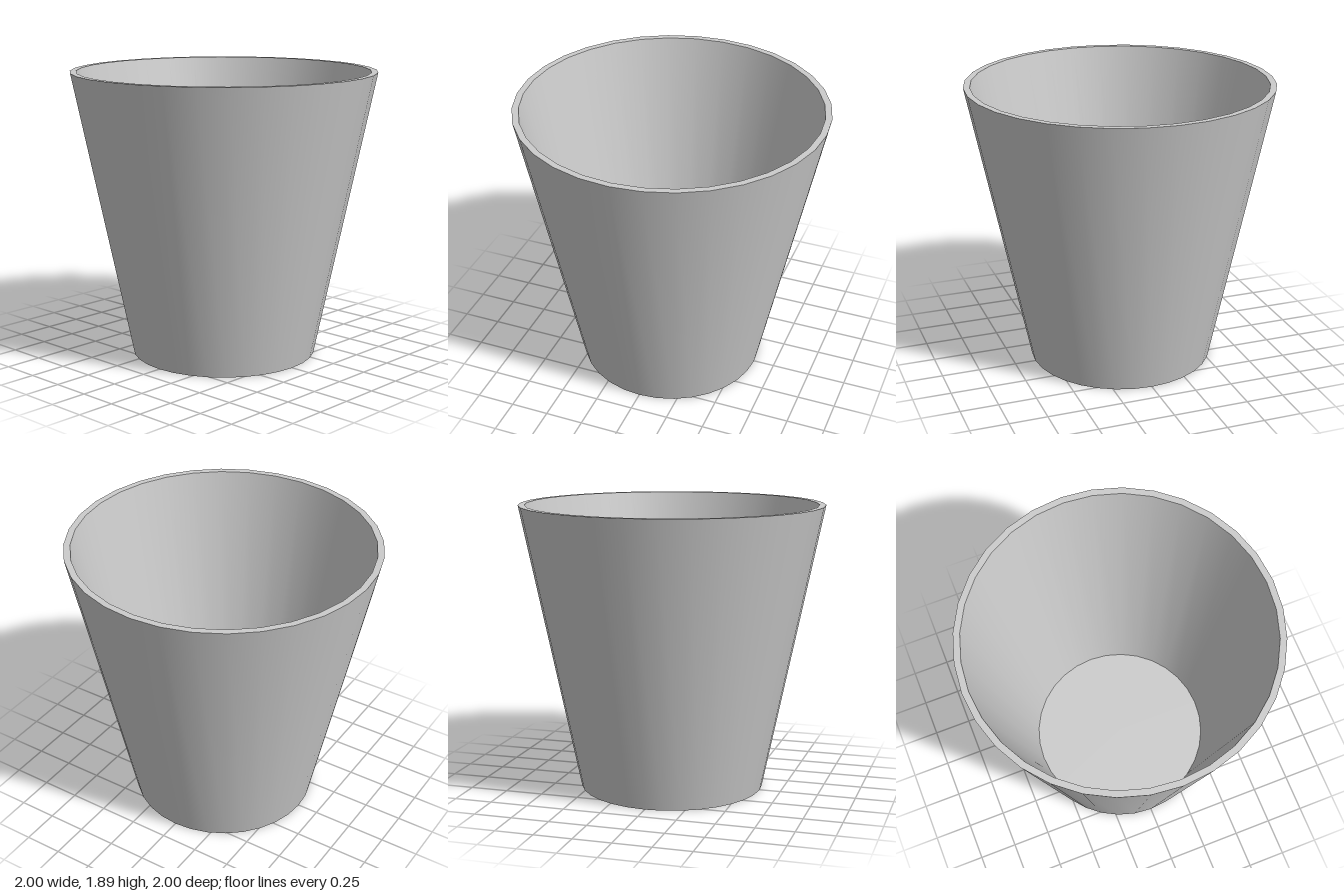
import * as THREE from 'three';

const SIDES = 32;
const HEIGHT = 1.89;
const FLOOR = 0.1;

export function createModel() {
  const group = new THREE.Group();
  group.name = 'cup';
  const material = new THREE.MeshStandardMaterial({ color: 0xcccccc });

  // Closed profile [radius, y], from the underside centre to the inner floor centre
  const profile = [[0, 0], [0.61, 0], [1, HEIGHT], [0.958, HEIGHT], [0.588, FLOOR], [0, FLOOR]]
    .map(([r, y]) => new THREE.Vector2(r, y));
  const names = ['underside', 'outerWall', 'rim', 'innerWall', 'innerFloor'];

  // One lathed band per profile edge: smooth around, sharp between bands
  names.forEach((name, i) => {
    const band = new THREE.LatheGeometry([profile[i], profile[i + 1]], SIDES);
    const mesh = new THREE.Mesh(band, material);
    mesh.name = name;
    group.add(mesh);
  });
  return group;
}
